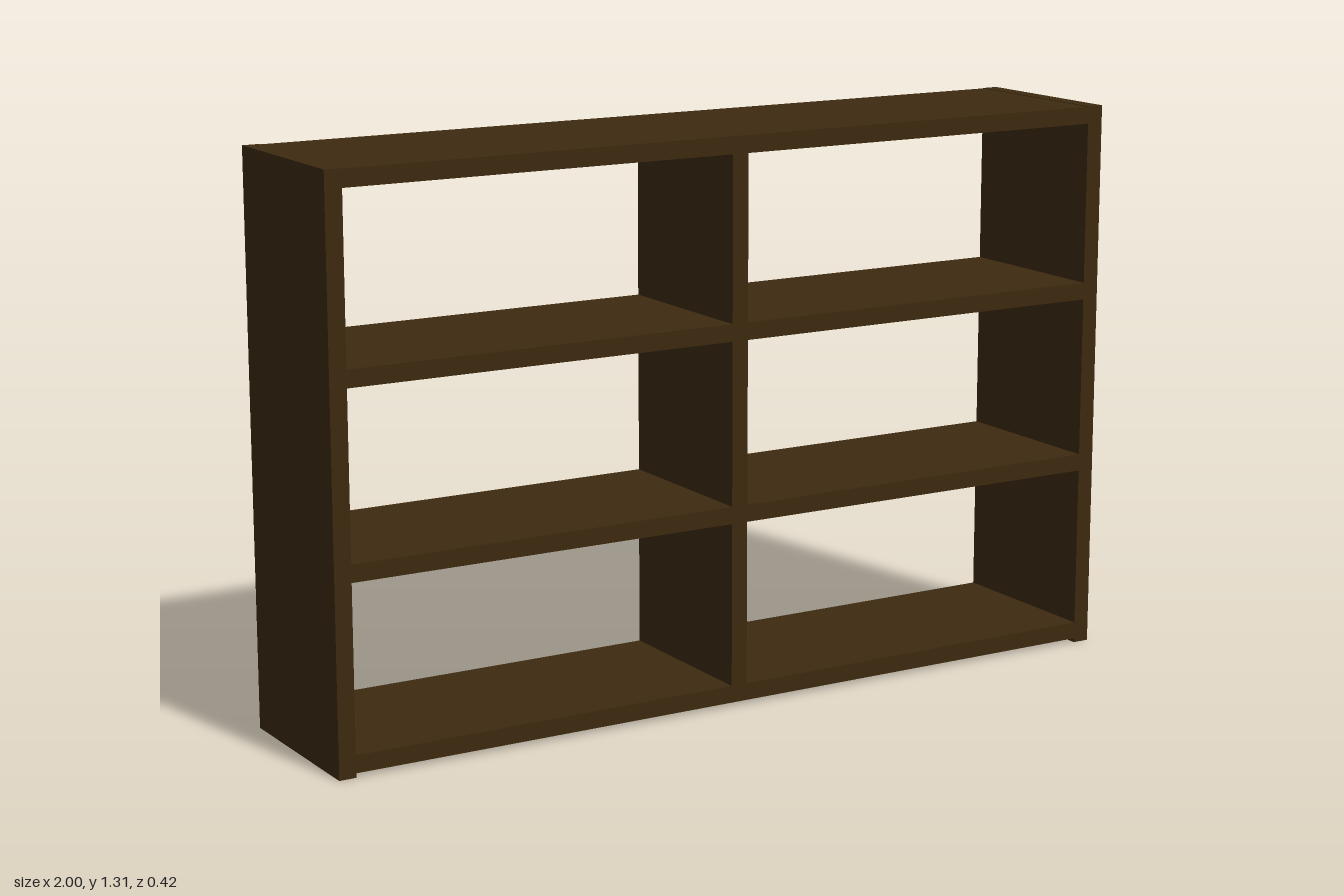
import * as THREE from 'three';

const T = 0.04;       // board thickness
const DEPTH = 0.416;
const HEIGHT = 1.308;
const SHELF_Y = [0.03, 0.45, 0.868, 1.287];

export function createModel() {
  const group = new THREE.Group();
  group.name = 'openShelfUnit';
  const wood = new THREE.MeshStandardMaterial({ color: 0x3d2a10 });

  const board = (name, w, h, x, y) => {
    const mesh = new THREE.Mesh(new THREE.BoxGeometry(w, h, DEPTH), wood);
    mesh.name = name;
    mesh.position.set(x, y, 0);
    group.add(mesh);
  };

  // Full-height side panels
  board('leftSide', T, HEIGHT, 1 - T / 2, HEIGHT / 2);
  board('rightSide', T, HEIGHT, -1 + T / 2, HEIGHT / 2);

  // Bottom, two shelves and top, fitted between the sides
  const names = ['bottomBoard', 'lowerShelf', 'upperShelf', 'topBoard'];
  SHELF_Y.forEach((y, i) => board(names[i], 2 - 2 * T, T, 0, y));

  // Central dividers, one in each tier
  for (let i = 0; i < SHELF_Y.length - 1; i++) {
    const low = SHELF_Y[i] + T / 2, high = SHELF_Y[i + 1] - T / 2;
    board(`divider${i + 1}`, T, high - low, 0, (low + high) / 2);
  }
  return group;
}
